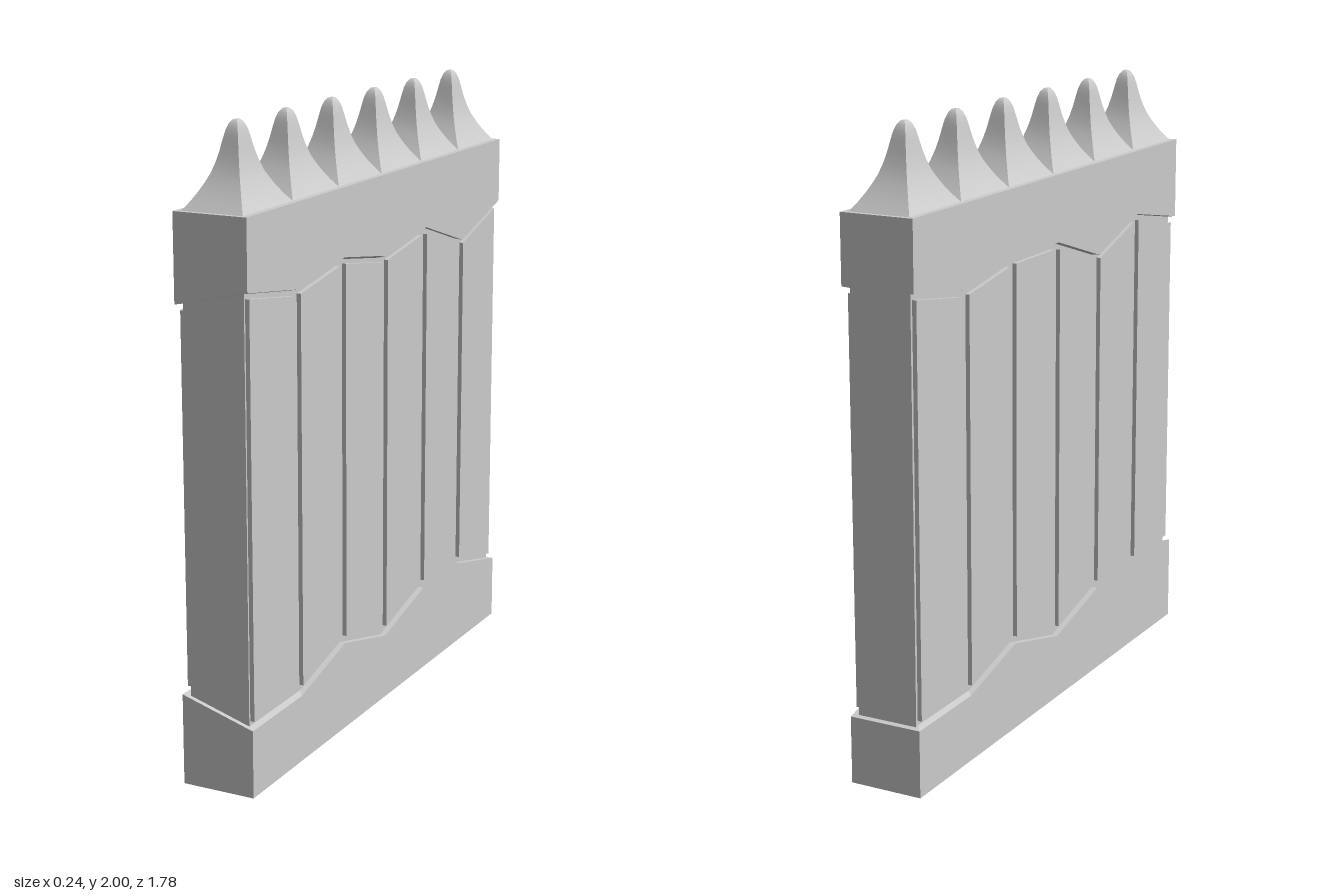
import * as THREE from 'three';
import { toCreasedNormals } from 'three/addons/utils/BufferGeometryUtils.js';

const STEP = 0.2915;      // bay width
const END = 0.89;         // half length of plinth and beam
const HALF = 0.12;        // half thickness of plinth and beam
const CORE = 0.1;         // half thickness of the wall core
const PANEL = 0.114;      // outer face of the raised panels

// Contour heights at the seven bay lines, front to back, for each long side
const sides = {
  left: {
    sign: 1,
    low: [0.215, 0.215, 0.288, 0.215, 0.288, 0.288, 0.215],
    high: [1.535, 1.49, 1.535, 1.49, 1.535, 1.445, 1.535],
  },
  right: {
    sign: -1,
    low: [0.288, 0.288, 0.288, 0.215, 0.288, 0.215, 0.215],
    high: [1.48, 1.535, 1.445, 1.535, 1.535, 1.49, 1.535],
  },
};

// Solid lofted through four-cornered sections running from front to back
function loft(sections) {
  const pos = [], idx = [];
  for (const { z, x0, x1, left, right } of sections) {
    pos.push(x1, left[0], z, x1, left[1], z, x0, right[1], z, x0, right[0], z);
  }
  const last = (sections.length - 1) * 4;
  for (let a = 0; a < last; a += 4) {
    for (let j = 0; j < 4; j++) {
      const p = a + j, q = a + ((j + 1) % 4);
      idx.push(p, p + 4, q + 4, p, q + 4, q);
    }
  }
  idx.push(0, 1, 2, 0, 2, 3, last, last + 2, last + 1, last, last + 3, last + 2);
  const geo = new THREE.BufferGeometry();
  geo.setAttribute('position', new THREE.Float32BufferAttribute(pos, 3));
  geo.setIndex(idx);
  const flat = geo.toNonIndexed();
  flat.computeVertexNormals();
  return flat;
}

export function createModel() {
  const group = new THREE.Group();
  const material = new THREE.MeshStandardMaterial({ color: 0xcccccc });
  const add = (name, geometry, parent = group) => {
    const mesh = new THREE.Mesh(geometry, material);
    mesh.name = name;
    parent.add(mesh);
    return mesh;
  };

  // Plinth and top beam with zigzag inner edges
  const stations = [0, 1, 2, 3, 4, 5, 6].map((i) => (
    i === 0 ? END : i === 6 ? -END : (3 - i) * STEP
  ));
  const { left, right } = sides;
  add('plinth', loft(stations.map((z, i) => ({
    z, x0: -HALF, x1: HALF, left: [0, left.low[i]], right: [0, right.low[i]],
  }))));
  add('topBeam', loft(stations.map((z, i) => ({
    z, x0: -HALF, x1: HALF, left: [left.high[i], 1.75], right: [right.high[i], 1.75],
  }))));

  // Wall core between them
  add('wallCore', new THREE.BoxGeometry(CORE * 2, 1.5, 0.875 * 2)).position.y = 0.87;

  // Raised panels, six on each long side, following the contours
  for (const [name, { sign, low, high }] of Object.entries(sides)) {
    const panels = new THREE.Group();
    panels.name = `${name}Panels`;
    group.add(panels);
    const xs = [sign * (CORE - 0.01), sign * PANEL].sort((a, b) => a - b);
    for (let i = 0; i < 6; i++) {
      const section = (t) => {
        const y = [
          THREE.MathUtils.lerp(low[i], low[i + 1], t) + 0.021,
          THREE.MathUtils.lerp(high[i], high[i + 1], t) - 0.021,
        ];
        return { z: (3 - i - t) * STEP, x0: xs[0], x1: xs[1], left: y, right: y };
      };
      const start = i === 0 ? 0.02 : 0.07;
      add('panel', loft([section(start), section(i === 5 ? 0.97 : 0.93)]), panels);
    }
  }

  // Row of four-sided flared spikes with rounded tips
  const profile = [
    [1, 0], [0.84, 0.025], [0.7, 0.05], [0.58, 0.075], [0.475, 0.1], [0.385, 0.13],
    [0.315, 0.16], [0.25, 0.195], [0.2, 0.22], [0.14, 0.238], [0.07, 0.248], [0, 0.25],
  ].map(([r, y]) => new THREE.Vector2(r * Math.SQRT2, y));
  const lathe = new THREE.LatheGeometry(profile, 4);
  lathe.rotateY(Math.PI / 4);
  lathe.scale(0.1, 1, STEP / 2);
  const spike = toCreasedNormals(lathe, 0.6);
  for (let i = 0; i < 6; i++) {
    add('spike', spike).position.set(0, 1.75, (2.5 - i) * STEP);
  }
  return group;
}
